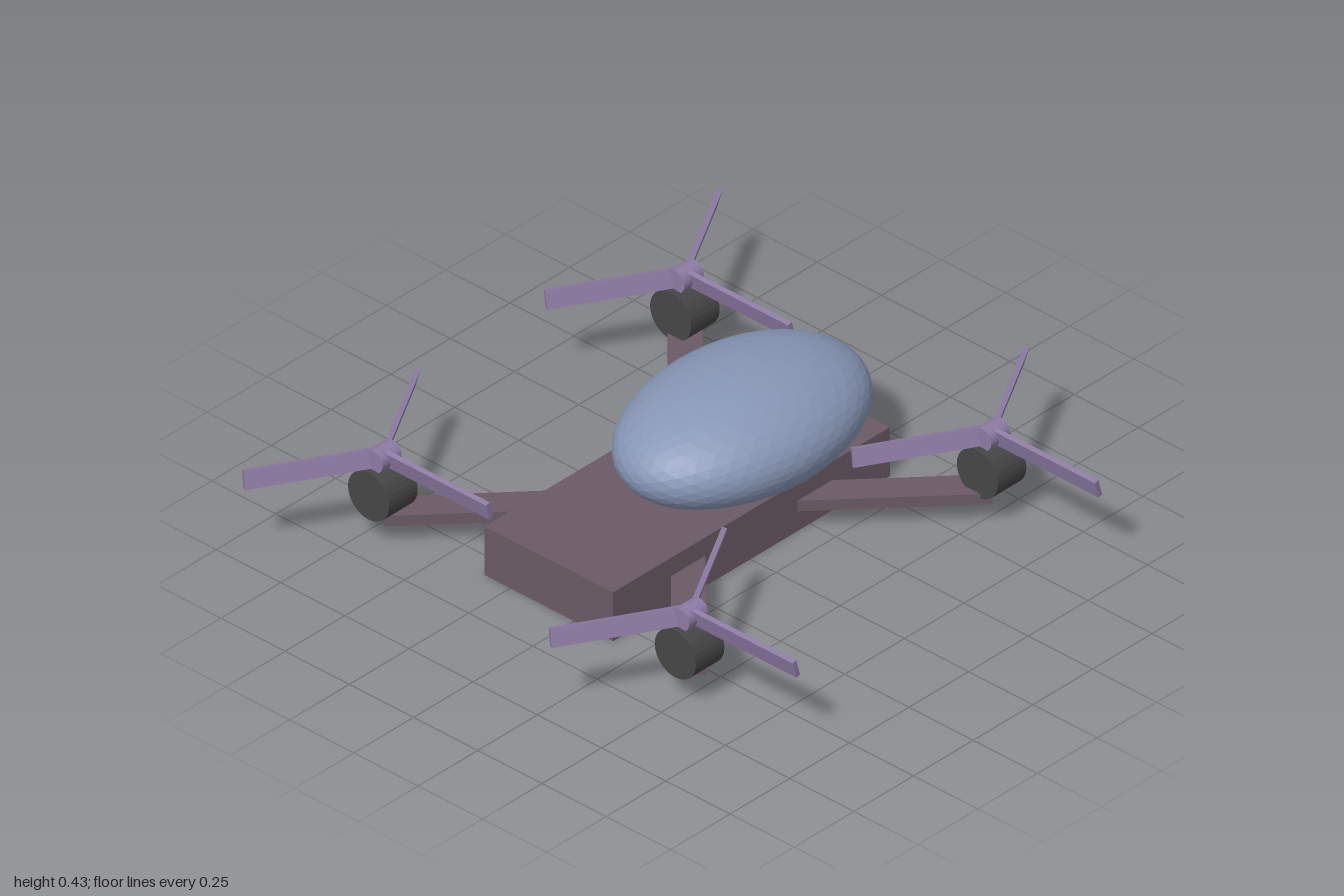
import * as THREE from 'three';

const CX = -0.1, CZ = -0.005; // centre of the airframe

const material = (color) => new THREE.MeshStandardMaterial({ color, flatShading: true });
const bodyMat = material(0x6b5a65);
const canopyMat = material(0x8796b6);
const motorMat = material(0x464646);
const rotorMat = material(0x8d7ba4);

function part(name, geometry, mat, x = 0, y = 0, z = 0) {
  const mesh = new THREE.Mesh(geometry, mat);
  mesh.name = name;
  mesh.position.set(x, y, z);
  return mesh;
}

// Three pitched blades around a small hub lying along z
function makeRotor() {
  const rotor = new THREE.Group();
  rotor.name = 'rotor';
  rotor.add(part('hub', new THREE.CylinderGeometry(0.036, 0.036, 0.08, 32).rotateX(Math.PI / 2), rotorMat));
  const length = 0.416;
  const blade = new THREE.BoxGeometry(length, 0.058, 0.016)
    .translate(length / 2, 0, 0)
    .rotateX(THREE.MathUtils.degToRad(15));
  for (let i = 0; i < 3; i++) {
    const mesh = part('blade', blade, rotorMat);
    mesh.rotation.y = (i * Math.PI * 2) / 3;
    rotor.add(mesh);
  }
  return rotor;
}

// Diagonal arm with its motor and rotor at the tip
function makeArmUnit(name, dx, dz) {
  const unit = new THREE.Group();
  unit.name = name;
  const length = Math.hypot(dx, dz);
  const arm = part('arm', new THREE.BoxGeometry(length, 0.036, 0.1), bodyMat, CX + dx / 2, 0.086, CZ + dz / 2);
  arm.rotation.y = Math.atan2(-dz, dx);
  const motor = part('motor', new THREE.CylinderGeometry(0.08, 0.08, 0.12, 32).rotateX(Math.PI / 2),
    motorMat, CX + dx, 0.168, CZ + dz);
  const rotor = makeRotor();
  rotor.position.set(CX + dx, 0.276, CZ + dz);
  unit.add(arm, motor, rotor);
  return unit;
}

export function createModel() {
  const model = new THREE.Group();
  model.name = 'quadcopter';

  model.add(part('body', new THREE.BoxGeometry(0.5, 0.167, 1.16), bodyMat, CX, 0.0835, CZ));

  // Egg-shaped canopy set towards the rear
  const canopy = new THREE.IcosahedronGeometry(1, 7).scale(0.295, 0.18, 0.446);
  model.add(part('canopy', canopy, canopyMat, CX, 0.25, -0.235));

  for (const sx of [-1, 1]) {
    for (const sz of [-1, 1]) {
      const name = (sz > 0 ? 'front' : 'rear') + (sx > 0 ? 'Left' : 'Right') + 'Arm';
      model.add(makeArmUnit(name, sx * 0.597, sz * 0.633));
    }
  }
  return model;
}
